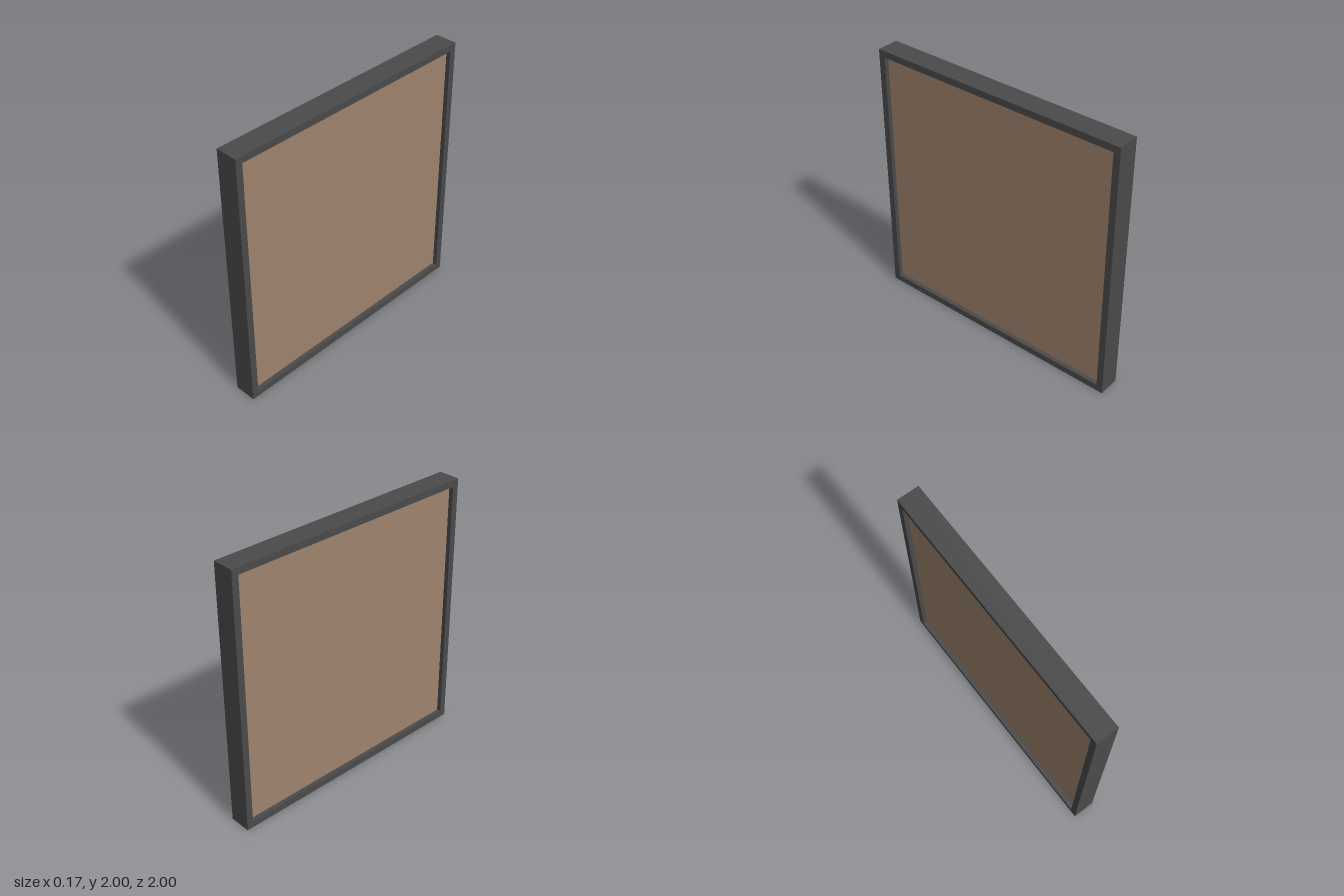
import * as THREE from 'three';

const SIZE = 2, DEPTH = 0.166, BORDER = 0.05, RECESS = 0.033;

// Corners of a centred square
const square = (size) => [[-1, -1], [1, -1], [1, 1], [-1, 1]]
  .map(([x, y]) => new THREE.Vector2(x * size / 2, y * size / 2));

export function createModel() {
  const group = new THREE.Group();
  group.name = 'framedPanel';
  const inner = SIZE - 2 * BORDER;

  // Square frame with an open middle, turned to face +x and -x
  const outline = new THREE.Shape(square(SIZE));
  outline.holes.push(new THREE.Path(square(inner).reverse()));
  const frameGeometry = new THREE.ExtrudeGeometry(outline, { depth: DEPTH, bevelEnabled: false });
  frameGeometry.translate(0, 0, -DEPTH / 2).rotateY(Math.PI / 2);
  const frame = new THREE.Mesh(frameGeometry, new THREE.MeshStandardMaterial({ color: 0x4a4a4a }));
  frame.name = 'frame';

  // Panel set back from both faces of the frame
  const panel = new THREE.Mesh(
    new THREE.BoxGeometry(DEPTH - 2 * RECESS, inner, inner),
    new THREE.MeshStandardMaterial({ color: 0x9e836d })
  );
  panel.name = 'panel';

  for (const part of [frame, panel]) {
    part.position.y = SIZE / 2;
    group.add(part);
  }
  return group;
}
